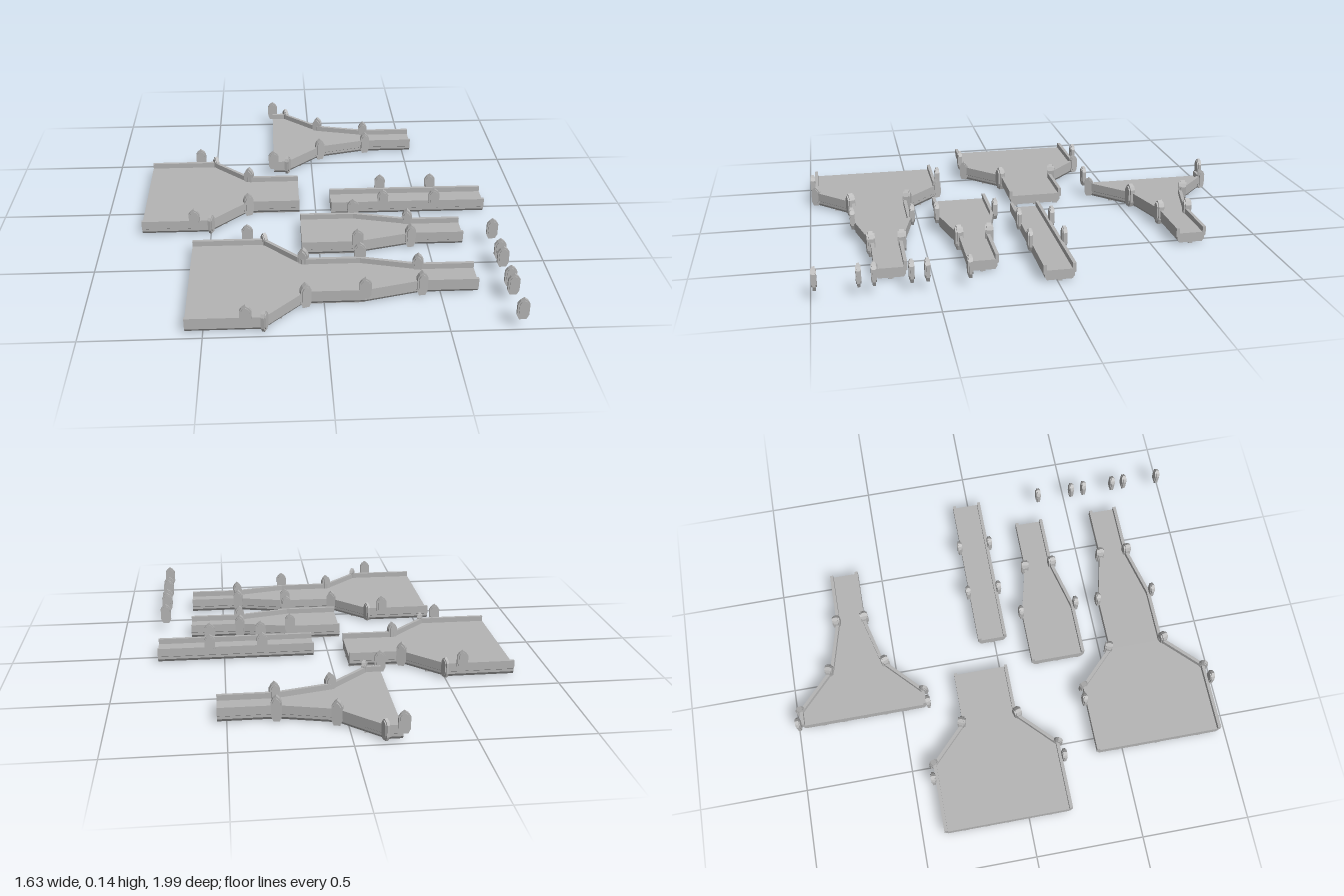
import * as THREE from 'three';

const stone = new THREE.MeshStandardMaterial({ color: 0xb4b4b4, flatShading: true });
stone.name = 'grey stone';

// Right half of the cross-section, outside bottom to deck: [inset from edge, height]
const PROFILE = [
  [0.016, 0.006], [0.006, 0.02], [0.006, 0.032], [0, 0.036],
  [0, 0.075], [0.015, 0.075], [0.015, 0.05],
];

// Outward mitre direction at each station of the [x, half width] outline
function mitres(outline) {
  const edge = [];
  for (let i = 0; i < outline.length - 1; i++) {
    const dx = outline[i + 1][0] - outline[i][0], dh = outline[i + 1][1] - outline[i][1];
    const l = Math.hypot(dx, dh);
    edge.push([-dh / l, dx / l]);
  }
  return outline.map((_, i) => {
    const a = edge[Math.max(i - 1, 0)], b = edge[Math.min(i, edge.length - 1)];
    const k = 1 + a[0] * b[0] + a[1] * b[1];
    return [(a[0] + b[0]) / k, (a[1] + b[1]) / k];
  });
}

// Deck and both parapets, swept through the stations of the outline
function deckGeometry(outline) {
  const dir = mitres(outline);
  const rings = outline.map(([x, h], i) => {
    const side = PROFILE.map(([d, y]) => [x - dir[i][0] * d, y, h - dir[i][1] * d]);
    return [...side, ...side.map(([px, y, z]) => [px, y, -z]).reverse()];
  });
  const pos = [];
  const tri = (...pts) => pts.forEach((p) => pos.push(...p));
  const n = rings[0].length;
  for (let i = 0; i < rings.length - 1; i++) {
    for (let j = 0; j < n; j++) {
      const k = (j + 1) % n, a = rings[i], b = rings[i + 1];
      tri(a[j], b[j], b[k]);
      tri(a[j], b[k], a[k]);
    }
  }
  // End caps
  [rings[0], rings[rings.length - 1]].forEach((r, end) => {
    const contour = r.map((p) => new THREE.Vector2(p[2], p[1]));
    THREE.ShapeUtils.triangulateShape(contour, []).forEach(([a, b, c]) =>
      end ? tri(r[a], r[c], r[b]) : tri(r[a], r[b], r[c]));
  });
  const g = new THREE.BufferGeometry();
  g.setAttribute('position', new THREE.Float32BufferAttribute(pos, 3));
  g.computeVertexNormals();
  return g;
}

// How far along x the outline stays wider than z
function reach(outline, z) {
  for (let i = 0; i < outline.length - 1; i++) {
    const [x0, h0] = outline[i], [x1, h1] = outline[i + 1];
    if (h1 < z) return x0 + (x1 - x0) * (h0 - z) / (h0 - h1);
  }
  return outline[outline.length - 1][0];
}

// Pointed slab of unit width, height and depth
function slab(depth, inset) {
  const w = 0.5 - inset;
  const s = new THREE.Shape([
    [-w * 0.6, inset], [w * 0.6, inset], [w, 0.2 + inset * 0.5], [w, 0.74],
    [w * 0.6, 0.89 - inset * 0.3], [0, 1 - inset * 0.6],
    [-w * 0.6, 0.89 - inset * 0.3], [-w, 0.74], [-w, 0.2 + inset * 0.5],
  ].map(([x, y]) => new THREE.Vector2(x, y)));
  return new THREE.ExtrudeGeometry(s, { depth, bevelEnabled: false }).translate(0, 0, -depth / 2);
}
const slabBody = slab(0.6, 0), slabPanel = slab(1, 0.14);

// [width, height, thickness, base height] of each kind of pylon
const KINDS = {
  flat: [0.05, 0.1, 0.022, 0.042],
  corner: [0.046, 0.115, 0.036, 0.006],
  turned: [0.042, 0.095, 0.022, 0.01],
};

function pylon(kind, x, z, angle = 0) {
  const [w, h, t, y] = KINDS[kind];
  const g = new THREE.Group();
  g.name = kind + 'Pylon';
  for (const [name, geo] of [['pylonBody', slabBody], ['pylonPanel', slabPanel]]) {
    const m = new THREE.Mesh(geo, stone);
    m.name = name;
    g.add(m);
  }
  g.scale.set(w, h, t);
  g.position.set(x, y, z);
  g.rotation.y = angle;
  return g;
}

function section(name, zc, outline, posts) {
  const g = new THREE.Group();
  g.name = name;
  g.position.z = zc;
  const deck = new THREE.Mesh(deckGeometry(outline), stone);
  deck.name = 'deckAndParapets';
  g.add(deck);
  // Longitudinal beams underneath
  const start = outline[0][0];
  for (let k = -2; k <= 2; k++) {
    const z = k * 0.1;
    if (Math.abs(z) + 0.03 > outline[0][1]) continue;
    const len = reach(outline, Math.abs(z) + 0.03) - start;
    const beam = new THREE.Mesh(new THREE.BoxGeometry(len, 0.008, 0.02), stone);
    beam.name = 'underBeam';
    beam.position.set(start + len / 2, 0.004, z);
    g.add(beam);
  }
  // Pylons mirrored on both edges
  for (const [kind, x, z, angle = 0] of posts) {
    for (const s of [1, -1]) g.add(pylon(kind, x, s * z, s * angle));
  }
  return g;
}

export function createModel() {
  const root = new THREE.Group();
  root.name = 'bridgeSections';
  const W = 0.3, M = 0.13, N = 0.069;

  root.add(
    section('flaredSection', -0.68,
      [[-0.2, W], [-0.13, W], [0.05, M], [0.29, N], [0.54, N]],
      [['flat', -0.2, 0.309], ['turned', -0.127, 0.297, 1.15],
        ['corner', 0.047, 0.135, 0.3], ['corner', 0.293, 0.068, 0.1]]),
    section('wideSection', -0.097,
      [[-0.82, W], [-0.5, W], [-0.325, M], [-0.08, M]],
      [['flat', -0.573, 0.309], ['turned', -0.497, 0.297, 1.15], ['corner', -0.325, 0.133, 0.3]]),
    section('straightSection', -0.01,
      [[0.073, 0.07], [0.813, 0.07]],
      [['flat', 0.32, 0.076], ['flat', 0.567, 0.076]]),
    section('narrowingSection', 0.287,
      [[-0.08, M], [0.17, M], [0.417, N], [0.66, N]],
      [['flat', 0.17, 0.136], ['corner', 0.417, 0.068, 0.1]]),
    section('longSection', 0.672,
      [[-0.573, W], [-0.25, W], [-0.08, M], [0.17, M], [0.417, N], [0.66, N]],
      [['flat', -0.325, 0.309], ['turned', -0.25, 0.297, 1.15], ['corner', -0.08, 0.135, 0.3],
        ['flat', 0.17, 0.136], ['corner', 0.417, 0.068, 0.1]]),
  );

  // Spare pylons standing in a row
  const spares = new THREE.Group();
  spares.name = 'sparePylons';
  for (const z of [0.36, 0.533, 0.597, 0.747, 0.808, 0.982]) spares.add(pylon('flat', 0.79, z));
  root.add(spares);
  return root;
}
